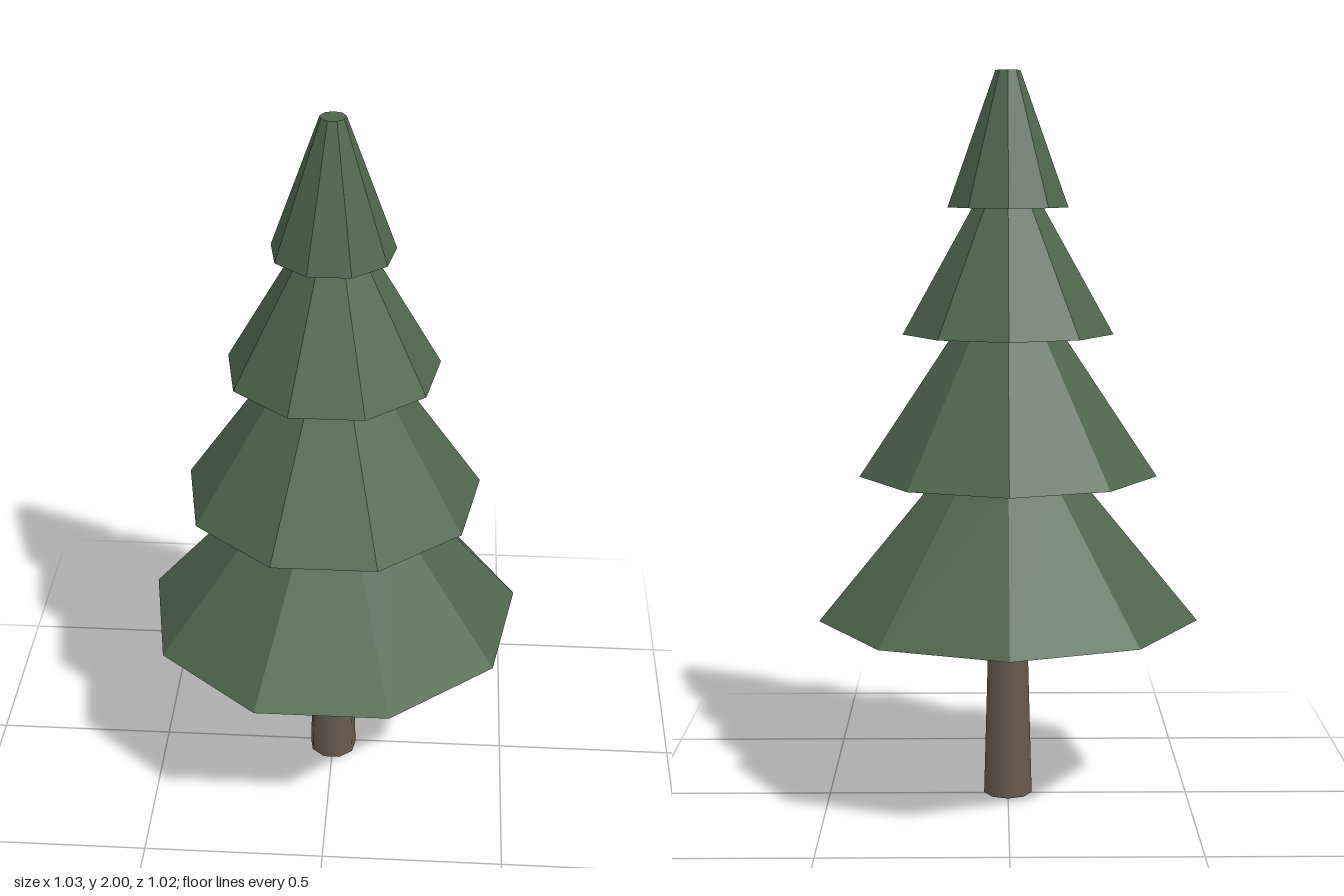
import * as THREE from 'three';

const SIDES = 9;

export function createModel() {
  const model = new THREE.Group();
  model.name = 'pineTree';

  const foliage = new THREE.MeshStandardMaterial({ color: 0x4f664d, flatShading: true });
  foliage.name = 'foliageGreen';
  const bark = new THREE.MeshStandardMaterial({ color: 0x685a4f });
  bark.name = 'barkBrown';

  // Tapered upright piece with one corner pointing to the back
  function addFrustum(name, material, bottomY, topY, bottomRadius, topRadius) {
    const height = topY - bottomY;
    const geometry = new THREE.CylinderGeometry(
      topRadius, bottomRadius, height, SIDES, 1, false, Math.PI);
    const mesh = new THREE.Mesh(geometry, material);
    mesh.name = name;
    mesh.position.set(0, bottomY + height / 2, 0.016);
    model.add(mesh);
  }

  // Trunk, smooth round its sides
  addFrustum('trunk', bark, 0, 0.53, 0.068, 0.053);

  // Foliage tiers from the bottom up: bottom y, top y, bottom radius, top radius
  const tiers = [
    [0.515, 0.912, 0.525, 0.19],
    [0.912, 1.297, 0.41, 0.15],
    [1.297, 1.637, 0.289, 0.097],
    [1.637, 2, 0.165, 0.034],
  ];
  tiers.forEach((tier, i) => addFrustum(`foliageTier${i + 1}`, foliage, ...tier));

  return model;
}
